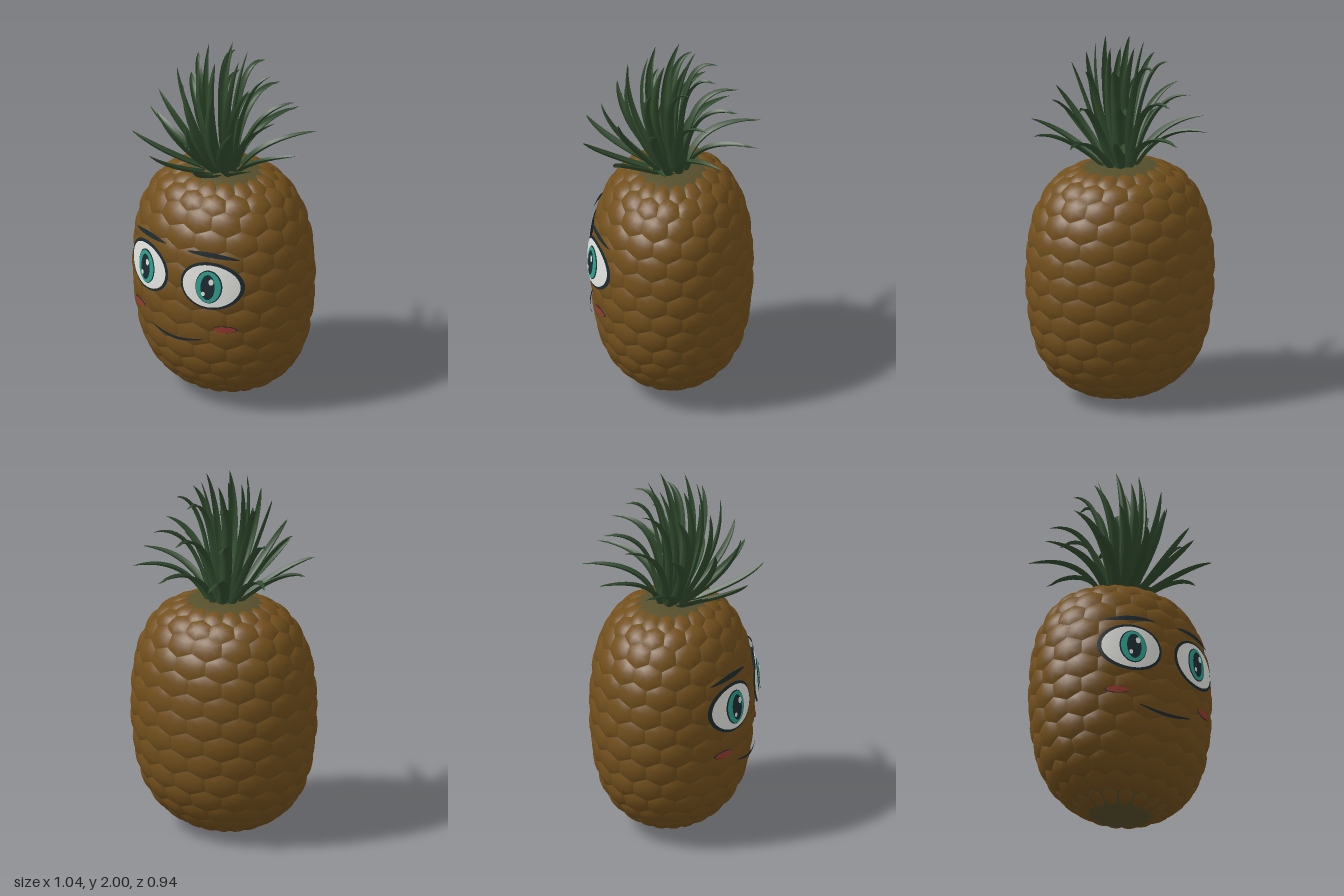
import * as THREE from 'three';
import { mergeGeometries } from 'three/addons/utils/BufferGeometryUtils.js';

const DEPTH = 0.845; // the body is slightly flattened front to back

// Body outline: radius and height, bottom to top
const profile = new THREE.SplineCurve([
  [0, 0], [0.1, 0.008], [0.2, 0.037], [0.3, 0.09], [0.4, 0.185], [0.47, 0.325], [0.507, 0.52],
  [0.517, 0.7], [0.507, 0.87], [0.485, 1.0], [0.447, 1.1], [0.385, 1.2], [0.3, 1.265],
  [0.2, 1.3], [0.1, 1.312], [0, 1.315],
].map(([r, y]) => new THREE.Vector2(r, y)));
const samples = profile.getSpacedPoints(300);

// Point on the outline at s, pushed outwards by offset
function outlineAt(s, offset) {
  const p = profile.getPointAt(s), t = profile.getTangentAt(s);
  return new THREE.Vector2(Math.max(0, p.x + t.y * offset), p.y - t.x * offset);
}

// Depth of the body's front at x, y
function frontZ(x, y) {
  const i = Math.max(1, samples.findIndex((p) => p.y > y));
  const a = samples[i - 1], b = samples[i];
  const r = a.x + (b.x - a.x) * (y - a.y) / (b.y - a.y);
  return DEPTH * Math.sqrt(Math.max(0, r * r - x * x));
}

function makeGeometry(positions, index) {
  const g = new THREE.BufferGeometry();
  g.setAttribute('position', new THREE.Float32BufferAttribute(positions, 3));
  g.setIndex(index);
  g.computeVertexNormals();
  return g;
}

// Grid surface; point(u, v) returns [x, y, z]
function gridGeometry(nu, nv, point) {
  const pos = [], index = [];
  for (let i = 0; i <= nu; i++) for (let j = 0; j <= nv; j++) pos.push(...point(i / nu, j / nv));
  for (let i = 0; i < nu; i++) for (let j = 0; j < nv; j++) {
    const a = i * (nv + 1) + j, b = a + nv + 1;
    index.push(a, b, b + 1, a, b + 1, a + 1);
  }
  return makeGeometry(pos, index);
}

// One softly domed hexagonal scale, wrapped on the body
function scaleGeometry(angle, s, da, ds) {
  const corners = [[0.5, -1 / 3], [0.5, 1 / 3], [0, 2 / 3], [-0.5, 1 / 3], [-0.5, -1 / 3], [0, -2 / 3]];
  const rim = [];
  corners.forEach(([x, y], i) => {
    const [nx, ny] = corners[(i + 1) % 6];
    rim.push([x, y], [(x + nx) / 2, (y + ny) / 2]);
  });
  const pos = [], index = [], n = rim.length;
  const add = (x, y, d) => {
    const p = outlineAt(s + y * ds, 0.003 - 0.012 * d ** 3);
    const a = angle + x * da;
    pos.push(p.x * Math.sin(a), p.y, DEPTH * p.x * Math.cos(a));
  };
  add(0, 0, 0);
  [0.4, 0.75, 0.99].forEach((d) => rim.forEach(([x, y]) => add(x * d, y * d, d)));
  for (let k = 0; k < n; k++) {
    const m = (k + 1) % n;
    index.push(0, 1 + k, 1 + m);
    for (let ring = 0; ring < 2; ring++) {
      const a = 1 + ring * n, b = a + n;
      index.push(a + k, b + k, b + m, a + k, b + m, a + m);
    }
  }
  return makeGeometry(pos, index);
}

// Thin painted shape on the face: centre line x(t), y(t) with half thickness h(t)
function facePlate(x, y, h, lift) {
  return gridGeometry(28, 8, (t, v) => {
    const px = x(t), py = y(t) + h(t) * (v * 2 - 1);
    return [px, py, frontZ(px, py) + lift];
  });
}
const ovalPlate = (cx, cy, rx, ry, lift) => facePlate(
  (t) => cx - rx * Math.cos(Math.PI * t), () => cy, (t) => ry * Math.sin(Math.PI * t), lift);

// Channelled, tapering leaf: front leaves curl up, back leaves droop
function leafGeometry(angle, reach, top, width) {
  const dir = new THREE.Vector3(Math.cos(angle), 0, Math.sin(angle));
  const side = new THREE.Vector3(-dir.z, 0, dir.x);
  const base = dir.clone().multiplyScalar(0.03 + reach * 0.11).setY(1.29);
  const lift = reach > 0.2 ? 0.85 - 0.3 * dir.z : 0.6;
  const middle = dir.clone().multiplyScalar(0.05 + reach * 0.46).setY(1.29 + (top - 1.29) * lift);
  middle.z += 0.13;
  const tip = dir.clone().multiplyScalar(reach).setY(top);
  const curve = new THREE.QuadraticBezierCurve3(base, middle, tip);
  return gridGeometry(16, 6, (t, v) => {
    const w = width * Math.pow(1 - t, 0.75) * (0.75 + 1.1 * t);
    const k = v * 2 - 1;
    const inward = new THREE.Vector3().crossVectors(curve.getTangent(t), side);
    if (inward.dot(dir) > 0) inward.negate();
    const p = curve.getPoint(t).addScaledVector(side, k * w).addScaledVector(inward, (k * k - 0.4) * w * 0.7);
    return [p.x, p.y, p.z];
  });
}

export function createModel() {
  const model = new THREE.Group();
  const material = (name, color, side = THREE.FrontSide) => {
    const m = new THREE.MeshStandardMaterial({ color, side });
    m.name = name;
    return m;
  };
  const brown = material('scaleBrown', 0x724f1c);
  const olive = material('coreOlive', 0x564f2c);
  const green = material('leafGreen', 0x304a2d, THREE.DoubleSide);
  const dark = material('inkDark', 0x1d2a30, THREE.DoubleSide);
  const white = material('eyeWhite', 0xe2e2de, THREE.DoubleSide);
  const teal = material('irisTeal', 0x2fa08e, THREE.DoubleSide);
  const red = material('cheekRed', 0x9c3b32, THREE.DoubleSide);

  const add = (name, geometry, mat, parent = model) => {
    const mesh = new THREE.Mesh(geometry, mat);
    mesh.name = name;
    parent.add(mesh);
  };

  // Core seen in the seams and at both ends
  const corePoints = [];
  for (let i = 0; i <= 60; i++) {
    const r = profile.getPointAt(i / 60).x;
    corePoints.push(outlineAt(i / 60, -0.0115 * Math.min(1, (r / 0.33) ** 2)));
  }
  const core = new THREE.LatheGeometry(corePoints, 64);
  core.scale(1, 1, DEPTH);
  add('bodyCore', core, olive);

  // Staggered rows of scales
  const columns = 16, rows = 14, da = Math.PI * 2 / columns, ds = 0.058;
  const scales = [];
  for (let row = 0; row < rows; row++) {
    for (let c = 0; c < columns; c++) {
      scales.push(scaleGeometry((c + (row % 2) / 2) * da, 0.115 + row * ds, da, ds));
    }
  }
  add('bodyScales', mergeGeometries(scales), brown);

  // Leaf crown: rings of [count, start angle in degrees, reach, tip height, half width]
  const crown = new THREE.Group();
  crown.name = 'leafCrown';
  model.add(crown);
  [
    [10, 0, 0.495, 1.52, 0.035],
    [9, 6, 0.38, 1.7, 0.035],
    [8, 22, 0.26, 1.88, 0.033],
    [6, 15, 0.13, 1.995, 0.031],
  ].forEach(([count, start, reach, top, width], ring) => {
    for (let i = 0; i < count; i++) {
      const angle = (start + i * 360 / count) * Math.PI / 180;
      add(`leafRing${ring + 1}`, leafGeometry(angle, reach, top, width), green, crown);
    }
  });

  // Eyes, brows and cheeks on both sides
  [['left', 1], ['right', -1]].forEach(([name, sx]) => {
    const eye = new THREE.Group();
    eye.name = `${name}Eye`;
    model.add(eye);
    const x = sx * 0.207, y = 0.815;
    add('eyeOutline', ovalPlate(x, y, 0.165, 0.138, 0.014), dark, eye);
    add('eyeball', ovalPlate(x, y, 0.149, 0.123, 0.019), white, eye);
    add('irisRing', ovalPlate(x, y, 0.07, 0.096, 0.024), dark, eye);
    add('iris', ovalPlate(x, y, 0.065, 0.091, 0.028), teal, eye);
    add('pupil', ovalPlate(x, y, 0.037, 0.073, 0.032), dark, eye);
    add('largeGlint', ovalPlate(x + 0.019, y + 0.034, 0.013, 0.018, 0.036), white, eye);
    add('smallGlint', ovalPlate(x - 0.02, y - 0.038, 0.01, 0.013, 0.036), white, eye);

    add(`${name}Brow`, facePlate(
      (t) => sx * 0.207 + 0.137 * (t * 2 - 1),
      (t) => 0.984 - sx * 0.01 * (t * 2 - 1) + 0.01 * Math.sin(Math.PI * t),
      (t) => 0.014 * Math.pow(Math.sin(Math.PI * t), 0.7), 0.018), dark);

    add(`${name}CheekOutline`, ovalPlate(sx * 0.282, 0.56, 0.056, 0.021, 0.012), dark);
    add(`${name}Cheek`, ovalPlate(sx * 0.282, 0.56, 0.053, 0.018, 0.016), red);
  });

  // Smile
  add('mouth', facePlate(
    (t) => 0.165 * (t * 2 - 1),
    (t) => 0.485 - 0.028 * Math.sin(Math.PI * t),
    (t) => 0.003 + 0.006 * Math.sin(Math.PI * t), 0.018), dark);

  return model;
}
